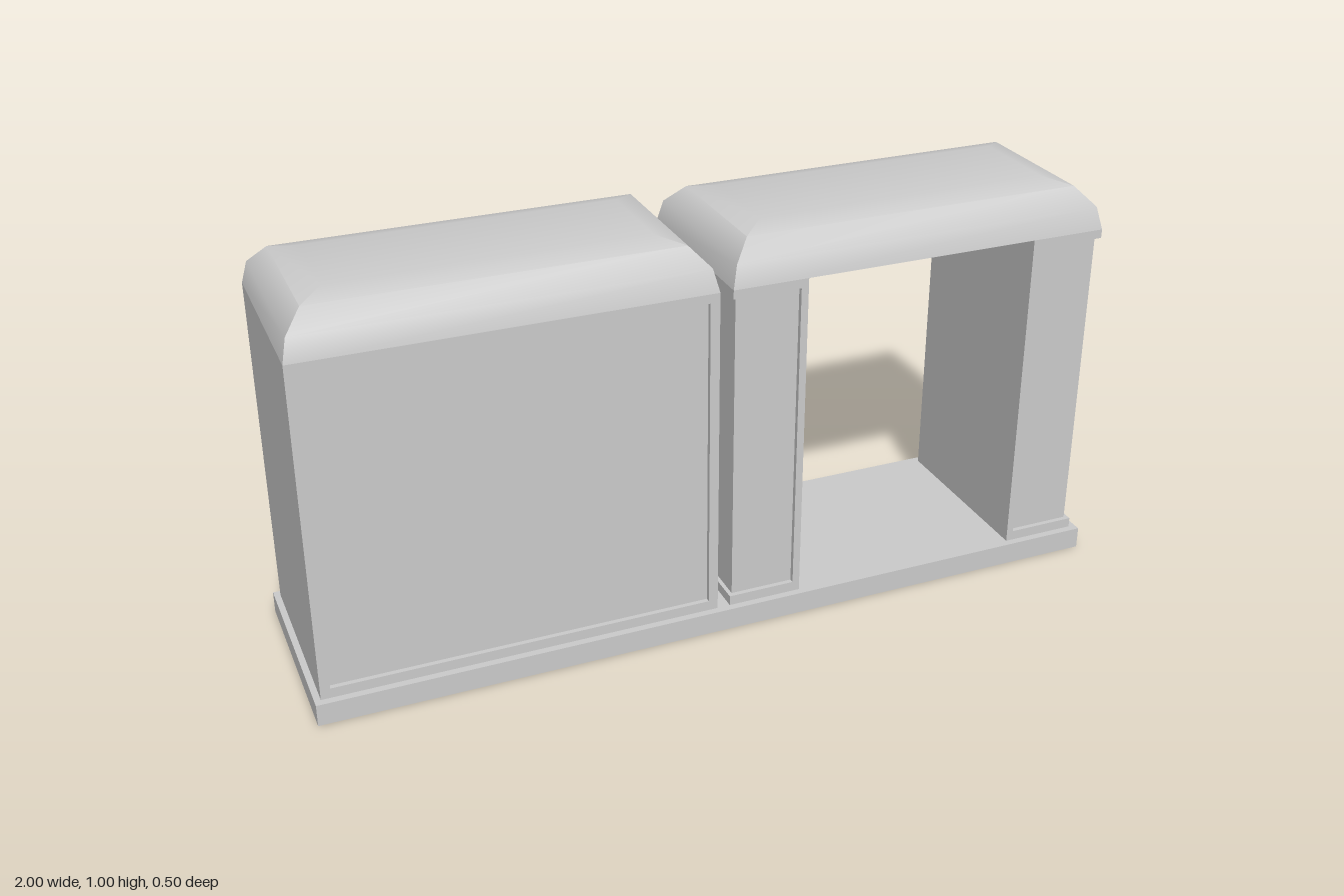
import * as THREE from 'three';
import { toCreasedNormals } from 'three/addons/utils/BufferGeometryUtils.js';

const material = new THREE.MeshStandardMaterial({ color: 0xcccccc, side: THREE.DoubleSide });
const BASE_TOP = 0.055, CAP_Y = 0.885, PANEL_LOW = 0.08, PANEL_HIGH = 0.863;
const DEPTH = 0.232, INSET = 0.22;

// Skin a series of closed rings of points; optionally fill the last (four-cornered) ring
function loft(rings, fillLast = false, crease = 0.6) {
  const n = rings[0].length;
  const index = [];
  for (let i = 0; i < rings.length - 1; i++) {
    for (let j = 0; j < n; j++) {
      const a = i * n + j, b = i * n + (j + 1) % n;
      index.push(a, b, b + n, a, b + n, a + n);
    }
  }
  if (fillLast) {
    const s = (rings.length - 1) * n;
    index.push(s, s + 1, s + 2, s, s + 2, s + 3);
  }
  const geometry = new THREE.BufferGeometry();
  geometry.setAttribute('position', new THREE.Float32BufferAttribute(rings.flat(2), 3));
  geometry.setIndex(index);
  return toCreasedNormals(geometry, crease);
}

function add(parent, name, geometry) {
  const mesh = new THREE.Mesh(geometry, material);
  mesh.name = name;
  parent.add(mesh);
  return mesh;
}

// Horizontal rectangle ring
const flatRing = (x0, x1, z, y) => [[x0, y, z], [x1, y, z], [x1, y, -z], [x0, y, -z]];
// Upright rectangle ring
const uprightRing = (x0, x1, y0, y1, z) => [[x0, y0, z], [x1, y0, z], [x1, y1, z], [x0, y1, z]];

// Rounded, mitred lid: [inset, height] steps
function roundedCap(x0, x1) {
  const steps = [[0, CAP_Y], [0.013, 0.94], [0.055, 0.985], [0.114, 1]];
  return loft(steps.map(([d, y]) => flatRing(x0 + d, x1 - d, DEPTH - d, y)), true);
}

// Pillar with a foot, a recessed shaft, a raised inner strip and a head
function pillar(xOuter, xShaft, xStrip, xInner) {
  const plan = (x, z, y) => {
    const half = [[x, z], [xStrip, z], [xStrip, DEPTH], [xInner, DEPTH]];
    const ring = [...half, ...half.map(([px, pz]) => [px, -pz]).reverse()].map(([px, pz]) => [px, y, pz]);
    return xOuter > xInner ? ring.reverse() : ring;
  };
  return loft([
    plan(xOuter, DEPTH, BASE_TOP), plan(xOuter, DEPTH, PANEL_LOW),
    plan(xShaft, INSET, PANEL_LOW), plan(xShaft, INSET, PANEL_HIGH),
    plan(xOuter, DEPTH, PANEL_HIGH), plan(xOuter, DEPTH, CAP_Y),
  ]);
}

function rectPath(x0, x1, z, Type) {
  return new Type([[x0, -z], [x1, -z], [x1, z], [x0, z]].map(([x, y]) => new THREE.Vector2(x, y)));
}

export function createModel() {
  const model = new THREE.Group();
  model.name = 'archwayWall';

  // Hollow plinth, open below and under the upright parts
  const base = new THREE.Group();
  base.name = 'base';
  model.add(base);
  add(base, 'baseSides', loft([flatRing(-1, 1, 0.25, 0), flatRing(-1, 1, 0.25, BASE_TOP)]));
  const top = rectPath(-1, 1, 0.25, THREE.Shape);
  for (const [a, b] of [[-0.985, -0.018], [0.014, 0.2], [0.793, 0.982]]) {
    top.holes.push(rectPath(a, b, DEPTH, THREE.Path));
  }
  add(base, 'baseTop', new THREE.ShapeGeometry(top).rotateX(-Math.PI / 2).translate(0, BASE_TOP, 0));

  // Solid block with a sunken panel front and back
  const block = new THREE.Group();
  block.name = 'solidBlock';
  block.position.x = -0.5015;
  model.add(block);
  const half = 0.4835, panelHalf = 0.46, height = CAP_Y - BASE_TOP;
  for (const [name, turn] of [['frontPanel', 0], ['backPanel', Math.PI]]) {
    add(block, name, loft([
      uprightRing(-half, half, BASE_TOP, CAP_Y, DEPTH),
      uprightRing(-panelHalf, panelHalf, PANEL_LOW, PANEL_HIGH, DEPTH),
      uprightRing(-panelHalf, panelHalf, PANEL_LOW, PANEL_HIGH, INSET),
    ], true)).rotation.y = turn;
  }
  for (const [name, side] of [['leftEnd', 1], ['rightEnd', -1]]) {
    add(block, name, new THREE.PlaneGeometry(DEPTH * 2, height)
      .rotateY(side * Math.PI / 2).translate(side * half, BASE_TOP + height / 2, 0));
  }
  add(block, 'blockCap', roundedCap(-half, half));

  // Open gateway on two pillars
  const gate = new THREE.Group();
  gate.name = 'gateway';
  model.add(gate);
  add(gate, 'innerPillar', pillar(0.014, 0.024, 0.182, 0.2));
  add(gate, 'outerPillar', pillar(0.982, 0.972, 0.811, 0.793));
  add(gate, 'gatewayCeiling', new THREE.PlaneGeometry(0.593, DEPTH * 2)
    .rotateX(Math.PI / 2).translate(0.4965, CAP_Y, 0));
  add(gate, 'gatewayCap', roundedCap(0.014, 0.982));

  return model;
}
